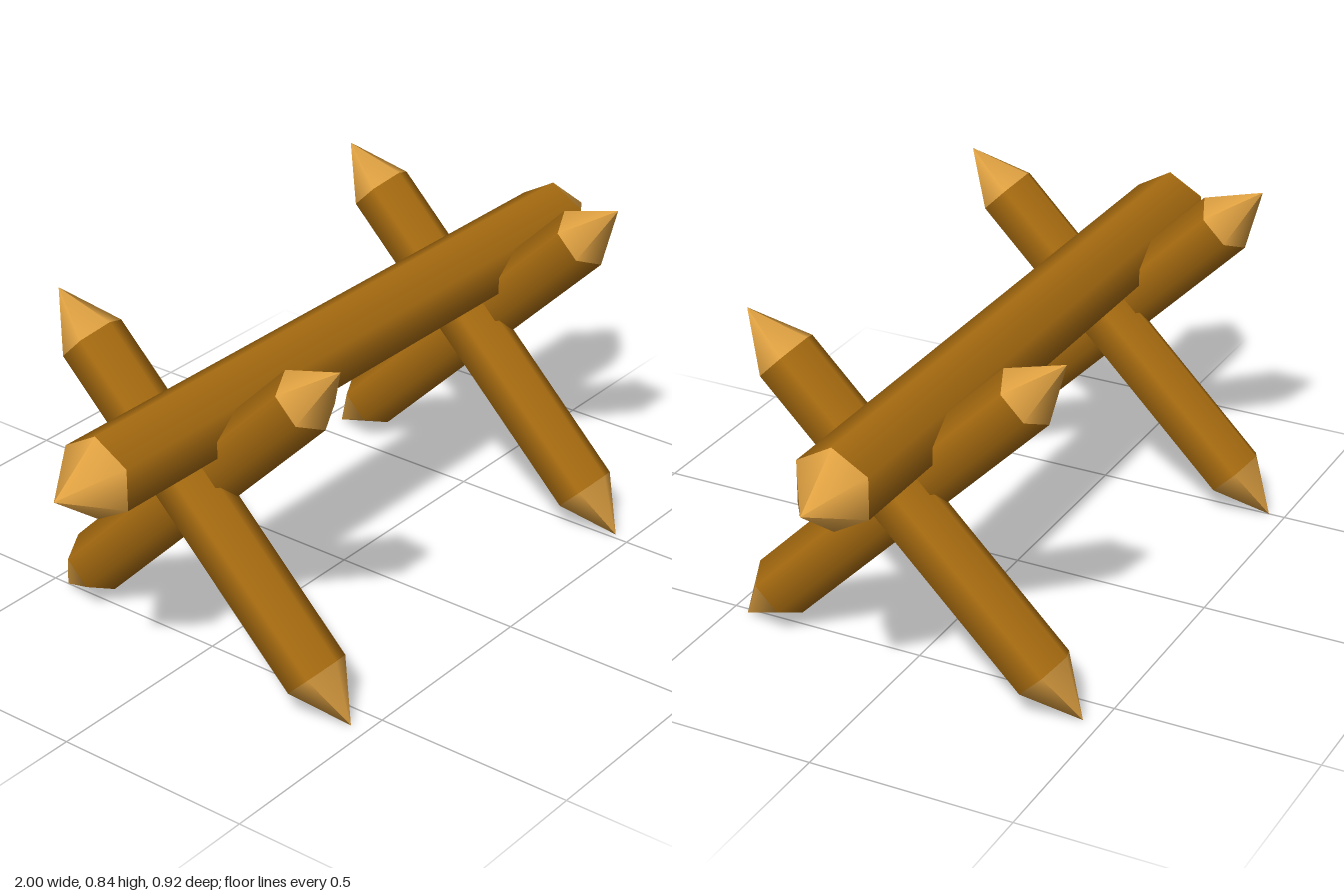
import * as THREE from 'three';

export function createModel() {
  const wood = new THREE.MeshStandardMaterial({ color: 0xa86c10 });
  wood.name = 'brown wood';
  const cutWood = new THREE.MeshStandardMaterial({ color: 0xdea041 });
  cutWood.name = 'pale cut wood';

  // Six-sided pole along y, sharpened at both ends
  function pole(name, radius, halfShaft, tip) {
    const group = new THREE.Group();
    group.name = name;
    const shaft = new THREE.Mesh(
      new THREE.CylinderGeometry(radius, radius, halfShaft * 2, 6, 1, true), wood);
    shaft.name = name + 'Shaft';
    group.add(shaft);
    for (const end of [1, -1]) {
      const geometry = new THREE.ConeGeometry(radius, tip, 6, 1, true);
      geometry.translate(0, halfShaft + tip / 2, 0);
      if (end < 0) geometry.rotateX(Math.PI);
      const point = new THREE.Mesh(geometry, cutWood);
      point.name = name + (end > 0 ? 'UpperPoint' : 'LowerPoint');
      group.add(point);
    }
    return group;
  }

  const model = new THREE.Group();
  model.name = 'spikedBarricade';

  // Horizontal beam with a ridge on top
  const beam = pole('beam', 0.102, 0.865, 0.135);
  beam.rotation.set(0, Math.PI / 2, Math.PI / 2, 'ZYX');
  beam.position.set(0, 0.614, 0);
  model.add(beam);

  // Two crossed pairs of stakes, side by side along the beam
  for (const [side, x] of [['left', 0.545], ['right', -0.53]]) {
    for (const lean of [1, -1]) {
      const stake = pole(side + (lean > 0 ? 'Forward' : 'Backward') + 'Stake', 0.079, 0.456, 0.138);
      stake.rotation.x = lean * Math.PI / 4;
      stake.position.set(x + lean * 0.03, 0.423, -lean * 0.038);
      model.add(stake);
    }
  }
  return model;
}
